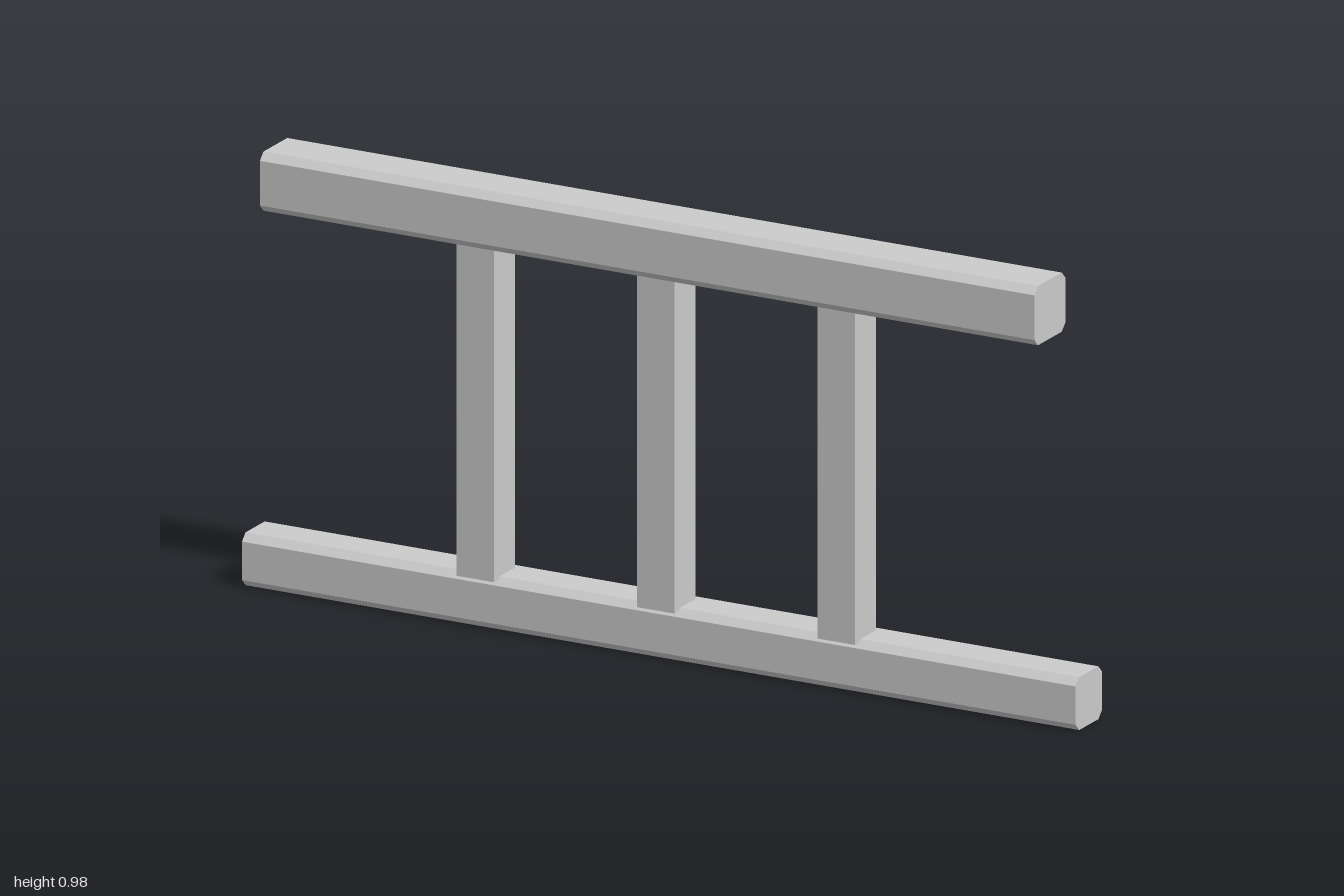
import * as THREE from 'three';

const wood = new THREE.MeshStandardMaterial({ color: 0xcccccc });
wood.name = 'pale grey';

// Octagonal bar running along x: a box section with cut corners
function rail(name, length, x, y0, y1, z0, z1, cut) {
  const h = (y1 - y0) / 2, w = (z1 - z0) / 2;
  const section = new THREE.Shape([
    [w, h - cut], [w - cut, h], [cut - w, h], [-w, h - cut],
    [-w, cut - h], [cut - w, -h], [w - cut, -h], [w, cut - h],
  ].map(([a, b]) => new THREE.Vector2(a, b)));
  const geometry = new THREE.ExtrudeGeometry(section, { depth: length, bevelEnabled: false });
  geometry.translate(0, 0, -length / 2).rotateY(Math.PI / 2);
  const mesh = new THREE.Mesh(geometry, wood);
  mesh.position.set(x, (y0 + y1) / 2, (z0 + z1) / 2);
  mesh.name = name;
  return mesh;
}

export function createModel() {
  const fence = new THREE.Group();
  fence.name = 'railing';

  // Horizontal rails, slightly offset from one another in depth
  fence.add(rail('topRail', 1.858, -0.002, 0.853, 0.984, -0.054, 0.081, 0.016));
  fence.add(rail('bottomRail', 2, 0, 0, 0.117, -0.081, 0.034, 0.016));

  // Upright posts
  const postGeometry = new THREE.BoxGeometry(0.09, 0.75, 0.092);
  [-0.436, -0.003, 0.43].forEach((x, i) => {
    const post = new THREE.Mesh(postGeometry, wood);
    post.position.set(x, 0.486, -0.004);
    post.name = `post${i + 1}`;
    fence.add(post);
  });

  return fence;
}
